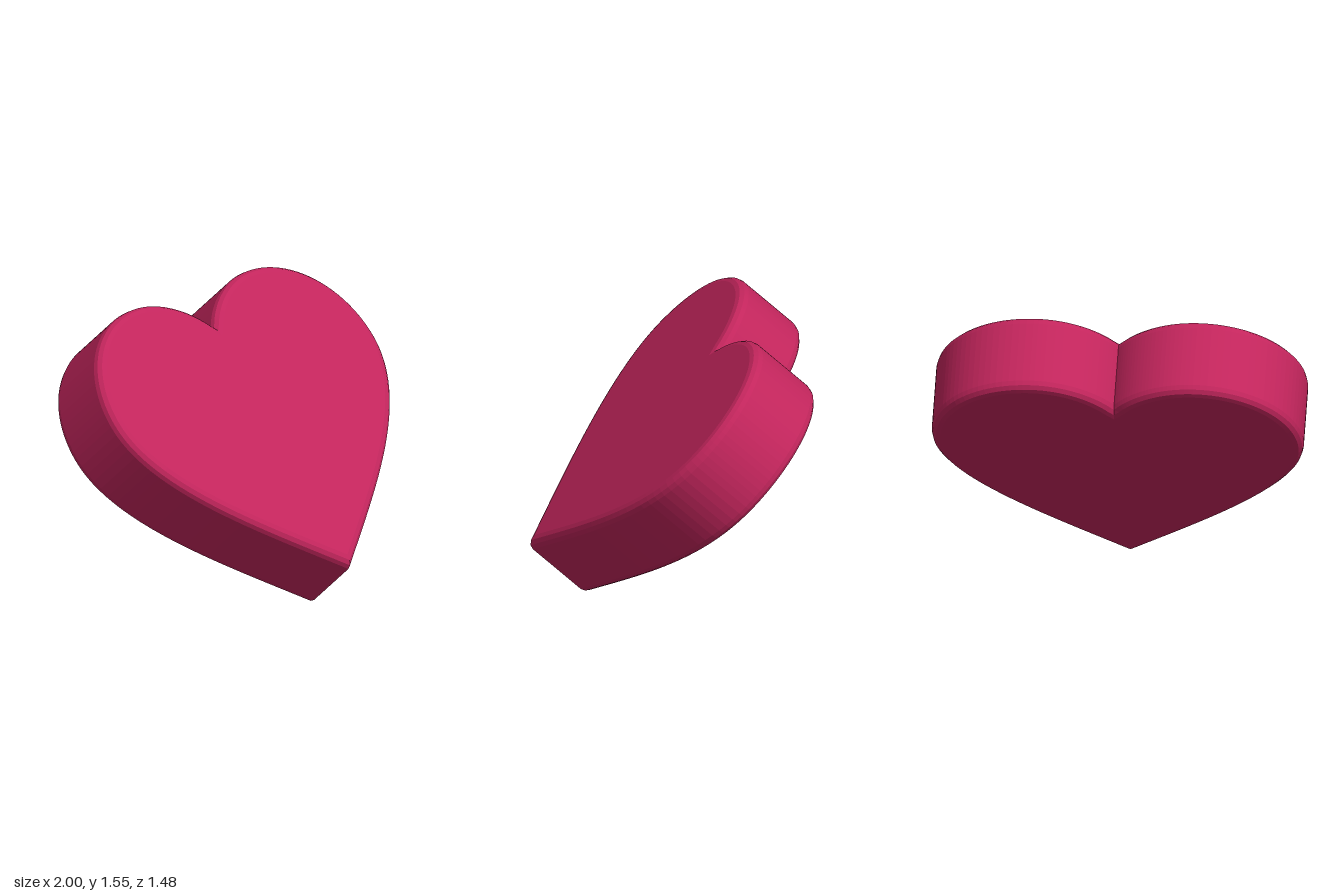
import * as THREE from 'three';

// Half outline of the heart, from the cleft over the lobe to the tip:
// each row is a Bezier segment (control 1, control 2, end point).
const CLEFT = 1.2;
const HALF = [
  [[0.08, 1.32], [0.24, 1.44], [0.44, 1.44]],
  [[0.75, 1.44], [1.0, 1.18], [1.0, 0.86]],
  [[1.0, 0.45], [0.45, 0.05], [0, -0.315]],
];

function heartShape() {
  const shape = new THREE.Shape();
  shape.moveTo(0, CLEFT);
  for (const [a, b, end] of HALF) shape.bezierCurveTo(...a, ...b, ...end);
  // Mirrored half, walked back from the tip to the cleft
  for (let i = HALF.length - 1; i >= 0; i--) {
    const [a, b] = HALF[i];
    const end = i > 0 ? HALF[i - 1][2] : [0, CLEFT];
    shape.bezierCurveTo(-b[0], b[1], -a[0], a[1], -end[0], end[1]);
  }
  return shape;
}

export function createModel() {
  const pink = new THREE.MeshStandardMaterial({ color: 0xc2255c });
  pink.name = 'raspberry pink';

  // Thick heart with rounded rims, kept inside the outline
  const bevel = 0.05;
  const geometry = new THREE.ExtrudeGeometry(heartShape(), {
    depth: 0.352,
    curveSegments: 24,
    bevelEnabled: true,
    bevelThickness: bevel,
    bevelSize: bevel,
    bevelOffset: -bevel,
    bevelSegments: 3,
  });
  geometry.translate(0, 0, 0.36);

  const heart = new THREE.Mesh(geometry, pink);
  heart.name = 'heart';
  heart.rotation.x = -0.75; // leans back

  const model = new THREE.Group();
  model.name = 'leaningHeart';
  model.add(heart);
  return model;
}
